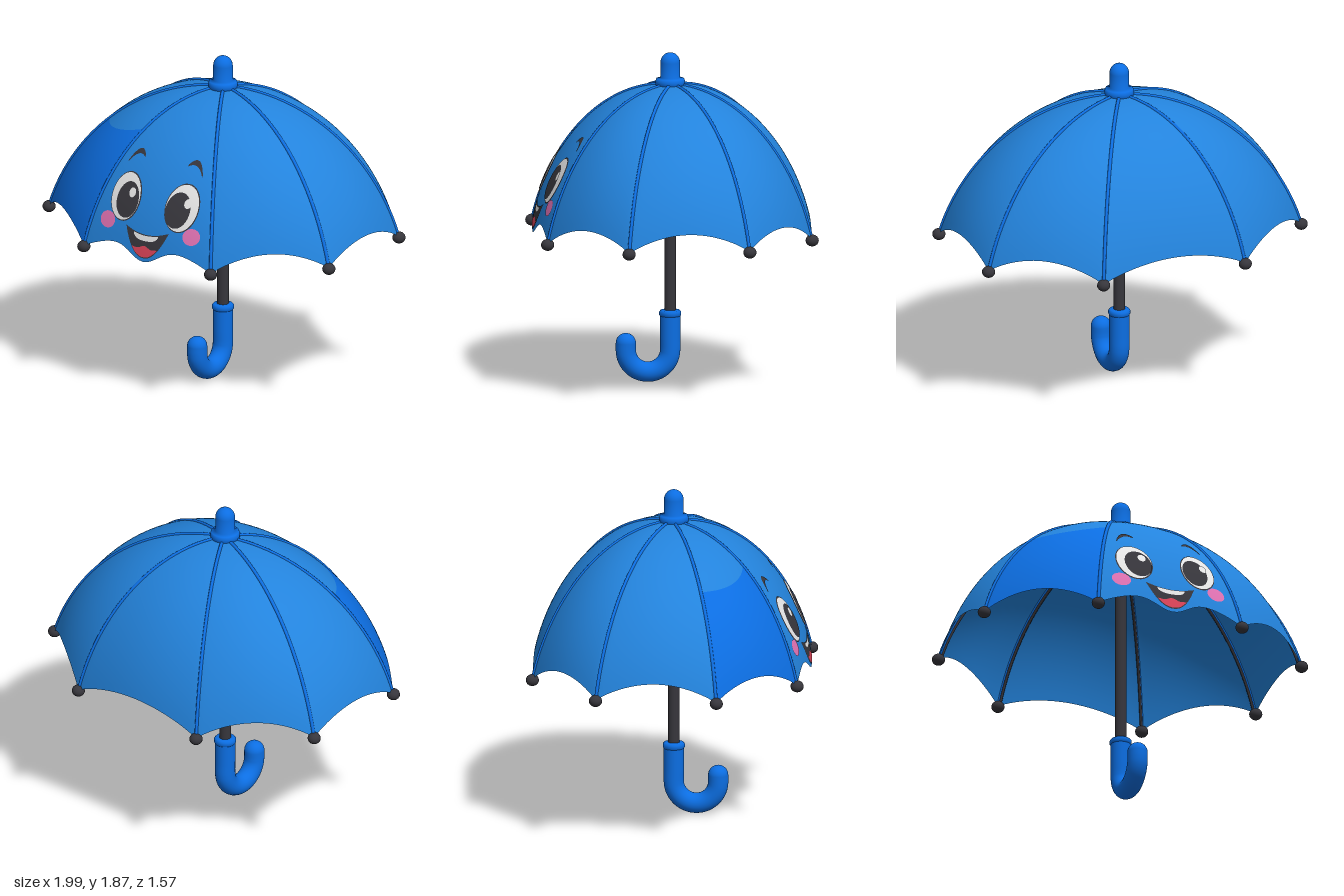
import * as THREE from 'three';

const paint = (name, color, side = THREE.DoubleSide) => {
  const m = new THREE.MeshStandardMaterial({ color, side });
  m.name = name;
  return m;
};

// Rib tips in plan order: x, y, z
const TIPS = [[0.435, 0.86, 0.745], [0.96, 0.885, 0.34], [0.96, 0.885, -0.34], [0.435, 0.86, -0.745],
  [-0.435, 0.86, -0.745], [-0.96, 0.885, -0.34], [-0.96, 0.885, 0.34], [-0.435, 0.86, 0.745]]
  .map(p => new THREE.Vector3(...p));
const TOP = 1.69, RIM = 1.257, FRONT = 7, ACCENT = 6;

// Point on canopy panel i: s runs from rib to rib, th from the apex down to the rim
function canopyPoint(i, s, th) {
  const p = TIPS[i].clone().lerp(TIPS[(i + 1) % 8], s);
  const arch = Math.max(0, Math.sin(Math.PI * s));
  const r = Math.hypot(p.x, p.z);
  const f = (1 + 0.018 * arch / r) * Math.sin(th) / Math.sin(RIM);
  const rimY = p.y + 0.108 * Math.pow(arch, 0.8);
  const g = (Math.cos(th) - Math.cos(RIM)) / (1 - Math.cos(RIM));
  return new THREE.Vector3(p.x * f, rimY + (TOP - rimY) * g, p.z * f);
}

// Grid surface from a rule (u, v) -> Vector3
function sheet(rule, nu, nv) {
  const pos = [], idx = [];
  for (let j = 0; j <= nv; j++) for (let i = 0; i <= nu; i++) pos.push(...rule(i / nu, j / nv).toArray());
  for (let j = 0; j < nv; j++) for (let i = 0; i < nu; i++) {
    const a = j * (nu + 1) + i, b = a + nu + 1;
    idx.push(a, b, a + 1, b, b + 1, a + 1);
  }
  const g = new THREE.BufferGeometry();
  g.setAttribute('position', new THREE.Float32BufferAttribute(pos, 3));
  g.setIndex(idx);
  g.computeVertexNormals();
  return g;
}

// Point of the front panel above a given (x, y), pushed out along its normal
function onFace(x, y, lift) {
  let s = 0.5 + x / 0.87, th = 1.1, p;
  for (let k = 0; k < 20; k++) {
    p = canopyPoint(FRONT, s, th);
    s = THREE.MathUtils.clamp(s + (x - p.x) / (0.87 * Math.sin(th)), 0.02, 0.98);
    th = THREE.MathUtils.clamp(th + (p.y - y) / (1.05 * Math.sin(th)), 0.3, 1.5);
  }
  p = canopyPoint(FRONT, s, th);
  const ds = canopyPoint(FRONT, s + 0.01, th).sub(p);
  const dt = canopyPoint(FRONT, s, th + 0.01).sub(p);
  const n = dt.cross(ds).normalize();
  if (n.z < 0) n.negate();
  return p.addScaledVector(n, lift);
}

export function createModel() {
  const model = new THREE.Group();
  model.name = 'umbrella';
  const canopyBlue = paint('canopy blue', 0x2383dc);
  const brightBlue = paint('bright blue', 0x0c6ee2);
  const charcoal = paint('charcoal', 0x37363c);
  const white = paint('white', 0xececec);
  const pink = paint('pink', 0xe273b4);
  const red = paint('red', 0xdc4459);

  const add = (name, geo, mat, x = 0, y = 0, z = 0, parent = model) => {
    const m = new THREE.Mesh(geo, mat);
    m.name = name;
    m.position.set(x, y, z);
    parent.add(m);
    return m;
  };
  const lathe = pts => new THREE.LatheGeometry(pts.map(p => new THREE.Vector2(...p)), 32);

  // Canopy panels; the front one hangs lower in the middle for the chin
  const canopy = new THREE.Group();
  canopy.name = 'canopy';
  model.add(canopy);
  const panel = (name, i, mat, from, to) => add(name, sheet((s, t) =>
    canopyPoint(i, s, THREE.MathUtils.lerp(from(s), to(s), t)), 32, 32), mat, 0, 0, 0, canopy);
  const apex = () => 0.02, rim = () => RIM;
  const chin = s => RIM + 0.105 * Math.exp(-(((s - 0.5) * 0.87 / 0.13) ** 2));
  const split = s => 0.67 - 0.1 * s + 0.08 * Math.sin(Math.PI * s);
  for (let i = 0; i < 8; i++) {
    if (i === ACCENT) {
      panel('accentPanelTop', i, canopyBlue, apex, split);
      panel('accentPanelBottom', i, brightBlue, split, rim);
    } else panel(i === FRONT ? 'facePanel' : 'panel', i, canopyBlue, apex, i === FRONT ? chin : rim);
  }

  // Ribs outside and inside, and ball tips
  TIPS.forEach((tip, i) => {
    const line = drop => {
      const pts = [];
      for (let k = 0; k <= 16; k++) {
        const p = canopyPoint(i, 0, 0.06 + (RIM - 0.06) * k / 16);
        pts.push(p.addScaledVector(new THREE.Vector3(p.x, p.y - 0.75, p.z).normalize(), -drop));
      }
      return new THREE.CatmullRomCurve3(pts);
    };
    add('rib', new THREE.TubeGeometry(line(0), 40, 0.010, 8), brightBlue, 0, 0, 0, canopy);
    add('innerRib', new THREE.TubeGeometry(line(0.012), 40, 0.008, 8), charcoal, 0, 0, 0, canopy);
    add('ribTip', new THREE.SphereGeometry(0.037, 20, 14), charcoal, tip.x, tip.y, tip.z, canopy).scale.y = 0.9;
  });

  // Face: thin patches that follow the front panel, on both of its sides
  const face = new THREE.Group();
  face.name = 'face';
  model.add(face);
  const patch = (name, mat, rule, layer, both = true) => {
    for (const side of both ? [1, -1] : [1]) {
      add(name, sheet((u, v) => onFace(...rule(u, v), side * (0.001 + 0.003 * layer)), 32, 8), mat, 0, 0, 0, face);
    }
  };
  const oval = (cx, cy, rx, ry) => (u, v) =>
    [cx + rx * v * Math.cos(u * 2 * Math.PI), cy + ry * v * Math.sin(u * 2 * Math.PI)];
  const band = (half, lo, hi) => (u, v) => {
    const x = half * (2 * u - 1);
    return [x, THREE.MathUtils.lerp(lo(x), Math.max(lo(x), hi(x)), v)];
  };
  for (const m of [-1, 1]) {
    patch('eyeRim', charcoal, oval(m * 0.19, 1.182, 0.106, 0.128), 1);
    patch('eyeWhite', white, oval(m * 0.19, 1.182, 0.1, 0.122), 2);
    patch('pupil', charcoal, oval(m * 0.17, 1.168, 0.077, 0.094), 3);
    patch('eyeGlint', white, oval(m * 0.185 + 0.04, 1.21, 0.023, 0.025), 4, false);
    patch('cheek', pink, oval(m * 0.285, 1.043, 0.054, 0.045), 1);
    patch('eyebrow', charcoal, (u, v) => [m * (0.252 - 0.105 * u),
      1.352 + 0.185 * u - 0.143 * u * u + (v - 0.5) * 0.026 * Math.sin(Math.PI * (0.12 + 0.74 * u))], 1, false);
  }
  const lipTop = x => 1.012 + 0.03 * (x / 0.145) ** 2;
  const lipBottom = x => 0.883 + 0.159 * Math.abs(x / 0.145) ** 2.2;
  patch('mouth', charcoal, band(0.145, lipBottom, lipTop), 1);
  patch('teeth', white, band(0.082, x => lipTop(x) - 0.006 - 0.028 * Math.sqrt(Math.max(0, 1 - (x / 0.083) ** 4)),
    x => lipTop(x) - 0.005), 2);
  patch('tongue', red, band(0.086, x => lipBottom(x) + 0.006, x => 0.952 - 1.8 * x * x + 0.006 * Math.cos(x * 70) - 0.006), 2);

  // Pole, cap on top
  const Z = 0.01;
  add('pole', new THREE.CylinderGeometry(0.033, 0.033, 1.33, 24), charcoal, 0, 1.035, Z);
  const cap = [[0.0, 1.665], [0.07, 1.67], [0.082, 1.685], [0.084, 1.705], [0.078, 1.722], [0.056, 1.728], [0.055, 1.812]];
  for (let k = 1; k <= 8; k++) {
    const a = k * Math.PI / 16;
    cap.push([0.055 * Math.cos(a), 1.812 + 0.057 * Math.sin(a)]);
  }
  add('topCap', lathe(cap), brightBlue, 0, 0, Z);

  // Hooked handle
  const R = 0.125, cy = 0.183, hook = new THREE.CurvePath();
  const at = (y, z) => new THREE.Vector3(0, y, z);
  const pts = [at(0.39, Z), at(0.32, Z), at(0.25, Z)];
  for (let k = 0; k <= 12; k++) {
    const a = k * Math.PI / 12;
    pts.push(at(cy - R * Math.sin(a), Z + R - R * Math.cos(a)));
  }
  pts.push(at(0.222, Z + 2 * R));
  hook.add(new THREE.CatmullRomCurve3(pts));
  add('handle', new THREE.TubeGeometry(hook.curves[0], 80, 0.057, 24), brightBlue);
  add('handleEnd', new THREE.SphereGeometry(0.057, 24, 16), brightBlue, 0, 0.222, Z + 2 * R);
  add('handleCollar', lathe([[0.03, 0.408], [0.054, 0.406], [0.062, 0.397], [0.062, 0.38], [0.055, 0.37], [0.03, 0.368]]),
    brightBlue, 0, 0, Z);

  return model;
}
